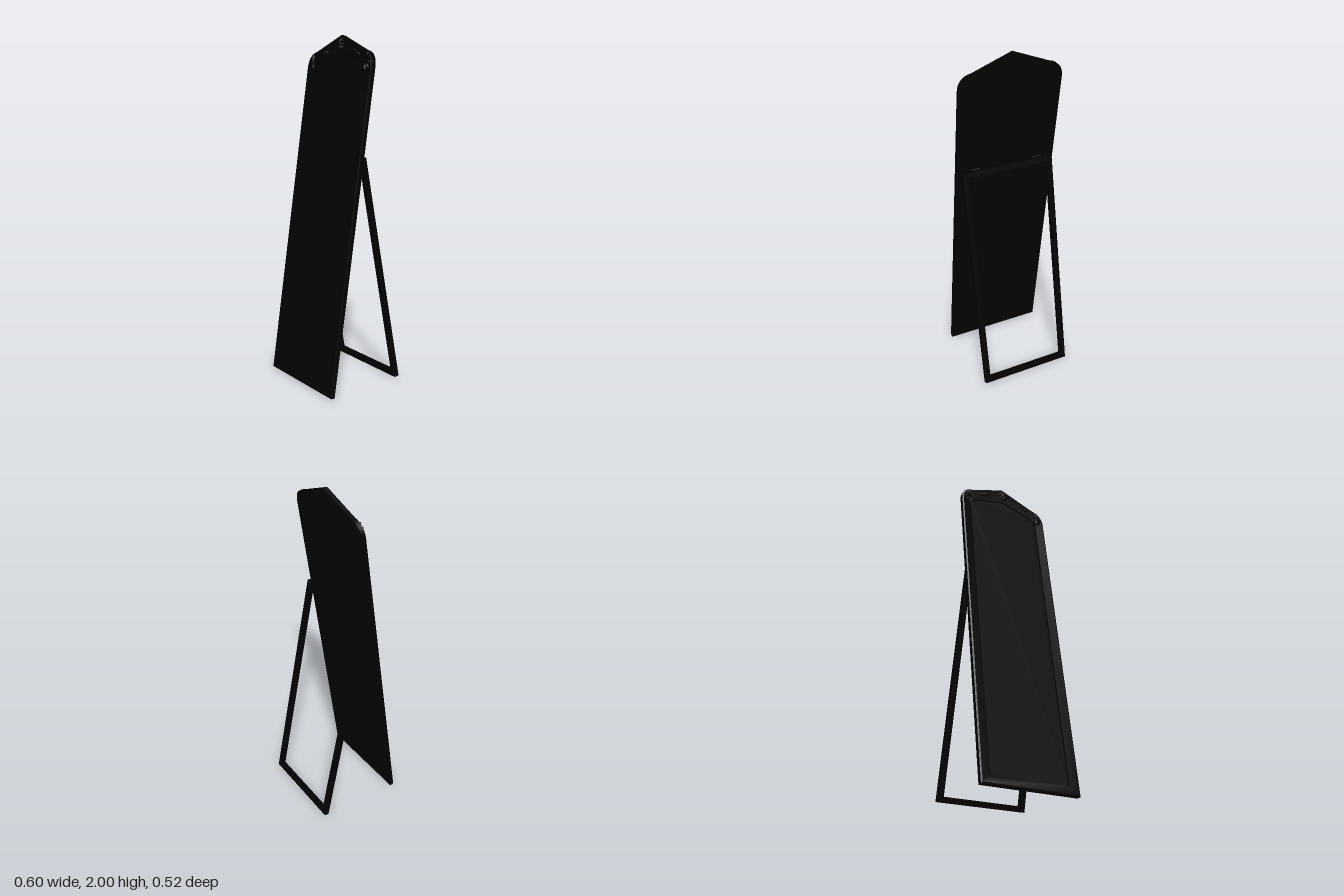
import * as THREE from 'three';
import { toCreasedNormals } from 'three/addons/utils/BufferGeometryUtils.js';

const black = new THREE.MeshStandardMaterial({ color: 0x020202 });

function add(parent, name, geometry, x = 0, y = 0, z = 0) {
  const mesh = new THREE.Mesh(geometry, black);
  mesh.name = name;
  mesh.position.set(x, y, z);
  parent.add(mesh);
  return mesh;
}

// Counter-clockwise arch: straight sides, rounded shoulders, pointed top
function archPoints({ w, bottom, side, shoulderX, shoulderY, peak }) {
  const curve = new THREE.CubicBezierCurve(
    new THREE.Vector2(w, side),
    new THREE.Vector2(w, side + (shoulderY - side) * 0.6),
    new THREE.Vector2(shoulderX + (w - shoulderX) * 0.6, shoulderY - 0.008),
    new THREE.Vector2(shoulderX, shoulderY));
  const right = [new THREE.Vector2(w, bottom), ...curve.getPoints(10)];
  const left = right.map(p => new THREE.Vector2(-p.x, p.y)).reverse();
  return [...right, new THREE.Vector2(0, peak), ...left];
}

// Skin consecutive outlines, each { points, z }
function skin(rings) {
  const n = rings[0].points.length;
  const positions = [];
  const index = [];
  for (const { points, z } of rings) for (const p of points) positions.push(p.x, p.y, z);
  for (let r = 0; r < rings.length - 1; r++) {
    for (let i = 0; i < n; i++) {
      const a = r * n + i, b = r * n + (i + 1) % n;
      index.push(a, b, b + n, a, b + n, a + n);
    }
  }
  const geometry = new THREE.BufferGeometry();
  geometry.setAttribute('position', new THREE.Float32BufferAttribute(positions, 3));
  geometry.setIndex(index);
  return toCreasedNormals(geometry, 0.5);
}

function flatOval(parent, name, x, y, z, rx, ry, rz, turn = 0) {
  const mesh = add(parent, name, new THREE.SphereGeometry(1, 16, 10), x, y, z);
  mesh.scale.set(rx, ry, rz);
  mesh.rotation.z = turn;
}

function createMirror() {
  const mirror = new THREE.Group();
  mirror.name = 'mirror';
  const depth = 0.028;
  const outer = archPoints({ w: 0.3, bottom: 0, side: 1.835, shoulderX: 0.225, shoulderY: 1.928, peak: 2.018 });
  const lip = archPoints({ w: 0.292, bottom: 0.008, side: 1.832, shoulderX: 0.22, shoulderY: 1.92, peak: 2.008 });
  const inner = archPoints({ w: 0.24, bottom: 0.05, side: 1.81, shoulderX: 0.195, shoulderY: 1.862, peak: 1.917 });

  // Moulded frame sloping down to the glass
  add(mirror, 'frame', skin([
    { points: outer, z: 0 },
    { points: outer, z: depth - 0.004 },
    { points: lip, z: depth },
    { points: inner, z: 0.021 },
    { points: inner, z: 0.011 },
  ]));
  add(mirror, 'glass', new THREE.ShapeGeometry(new THREE.Shape(inner)), 0, 0, 0.011);
  const back = add(mirror, 'backPanel', new THREE.ShapeGeometry(new THREE.Shape(outer)));
  back.rotation.y = Math.PI;

  // Carved rosette under the peak
  const rosette = new THREE.Group();
  rosette.name = 'rosette';
  rosette.position.set(0, 1.965, 0.026);
  mirror.add(rosette);
  flatOval(rosette, 'rosetteCentre', 0, 0, 0, 0.014, 0.014, 0.012);
  for (let i = 0; i < 8; i++) {
    const a = i * Math.PI / 4;
    flatOval(rosette, 'rosettePetal', Math.cos(a) * 0.02, Math.sin(a) * 0.02, 0, 0.014, 0.008, 0.008, a);
  }

  // Carved leaves along the top rail and at the shoulders
  for (const s of [-1, 1]) {
    const leaves = new THREE.Group();
    leaves.name = s > 0 ? 'leftCarving' : 'rightCarving';
    mirror.add(leaves);
    for (let i = 0; i < 3; i++) {
      flatOval(leaves, 'railLeaf', s * (0.125 + i * 0.022), 1.926 - i * 0.008, 0.024, 0.017, 0.008, 0.009, s * (0.4 - i * 0.4));
    }
    for (let i = 0; i < 5; i++) {
      const a = -1.3 + i * 0.6;
      flatOval(leaves, 'shoulderLeaf', s * (0.235 + Math.cos(a) * 0.03), 1.865 + Math.sin(a) * 0.035, 0.025, 0.022, 0.009, 0.011, s * a);
    }
  }

  mirror.position.z = 0.235;
  mirror.rotation.x = -0.15;
  return mirror;
}

function createStand() {
  const stand = new THREE.Group();
  stand.name = 'stand';
  const t = 0.028, bar = 0.032, w = 0.277, h = 1.35;

  // Rectangular support of two legs and two rails
  for (const s of [-1, 1]) {
    add(stand, s > 0 ? 'leftLeg' : 'rightLeg', new THREE.BoxGeometry(bar, h, t), s * (w - bar / 2), h / 2, -t / 2);
    // Hinge knuckle joining the support to the panel
    const hinge = add(stand, 'hinge', new THREE.CylinderGeometry(0.005, 0.005, 0.05, 12), s * 0.19, h + 0.004, -0.004);
    hinge.rotation.z = Math.PI / 2;
    add(stand, 'hingePlate', new THREE.BoxGeometry(0.05, 0.03, 0.003), s * 0.19, h - 0.012, 0.0015);
  }
  for (const [name, y] of [['bottomRail', bar / 2], ['topRail', h - bar / 2]]) {
    add(stand, name, new THREE.BoxGeometry(2 * (w - bar), bar, t), 0, y, -t / 2);
  }

  stand.position.z = -0.234;
  stand.rotation.x = 0.196;
  return stand;
}

export function createModel() {
  const model = new THREE.Group();
  model.name = 'standingMirror';
  model.add(createMirror(), createStand());
  return model;
}
